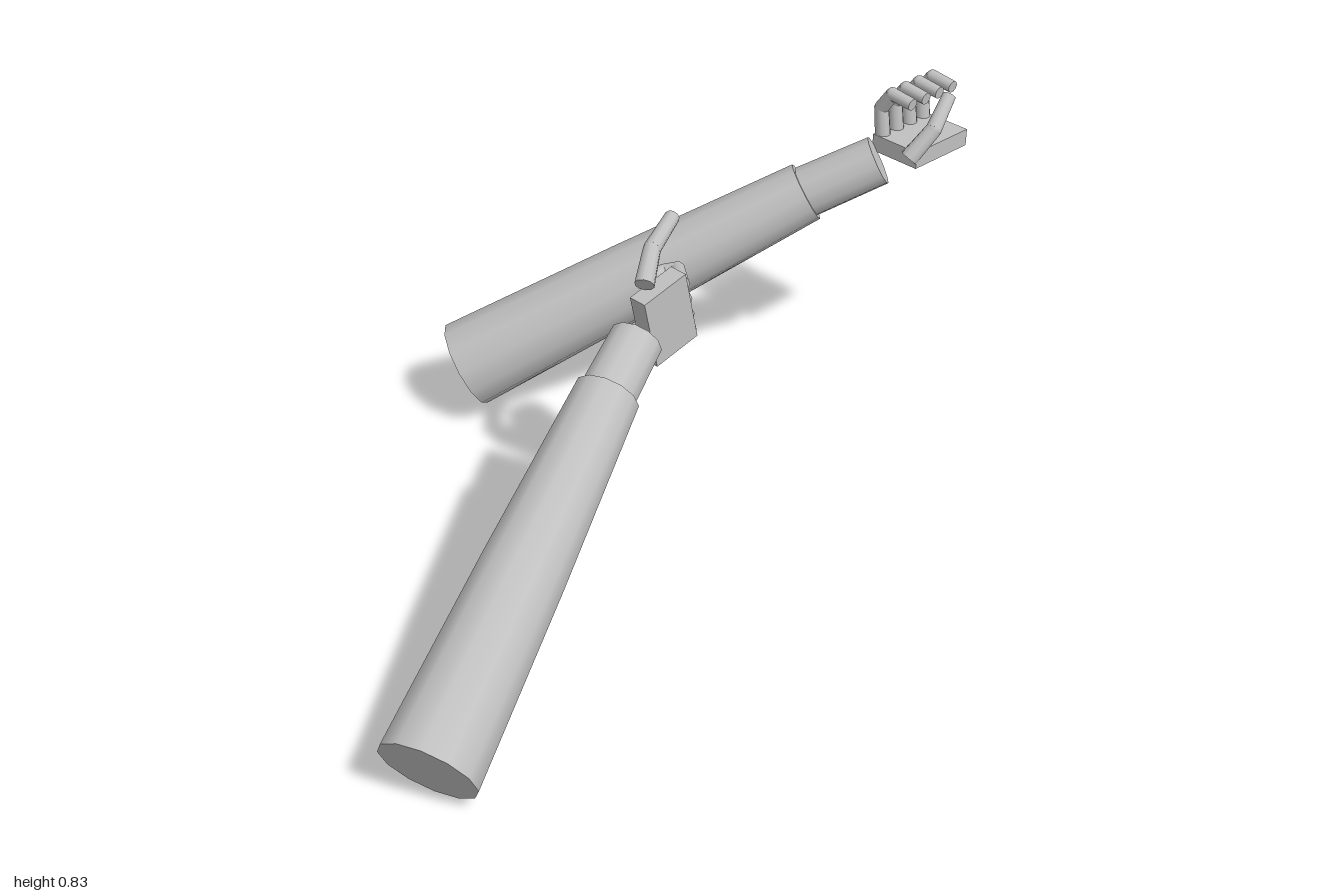
import * as THREE from 'three';

const skin = new THREE.MeshStandardMaterial({ color: 0xc0c0c0 });
skin.name = 'plainGrey';
const V = (a) => new THREE.Vector3(...a);
const UP = new THREE.Vector3(0, 1, 0);

function add(parent, geometry, name) {
  const mesh = new THREE.Mesh(geometry, skin);
  mesh.name = name;
  parent.add(mesh);
  return mesh;
}

// Tapered round section between two points
function limb(parent, from, to, r0, r1, sides, name) {
  const a = V(from), b = V(to), d = b.clone().sub(a);
  const mesh = add(parent, new THREE.CylinderGeometry(r1, r0, d.length(), sides), name);
  mesh.position.copy(a).add(b).multiplyScalar(0.5);
  mesh.quaternion.setFromUnitVectors(UP, d.normalize());
  return mesh;
}

// Jointed digit following a few points
function digit(parent, points, r0, r1, name) {
  const group = new THREE.Group();
  group.name = name;
  const n = points.length - 1;
  for (let i = 0; i < n; i++) {
    const ra = r0 + (r1 - r0) * i / n, rb = r0 + (r1 - r0) * (i + 1) / n;
    limb(group, points[i], points[i + 1], ra, rb, 10, name + 'Segment');
    if (i > 0) add(group, new THREE.SphereGeometry(ra, 10, 6), name + 'Joint').position.set(...points[i]);
  }
  parent.add(group);
}

function arm(spec) {
  const group = new THREE.Group();
  group.name = spec.name;

  // Sleeve, slightly full at the middle, with a step down to the wrist
  const a = V(spec.base), d = V(spec.cuff).sub(a), len = d.length();
  const profile = [[0, 0], [0.109, 0], [0.094, len * 0.5], [0.073, len], [0, len]];
  const sleeve = new THREE.Group();
  sleeve.name = 'sleeve';
  sleeve.position.copy(a);
  sleeve.quaternion.setFromUnitVectors(UP, d.normalize());
  const sides = profile.slice(1, 4).map(p => new THREE.Vector2(...p));
  add(sleeve, new THREE.LatheGeometry(sides, 12), 'sleeveSide');
  const bottom = add(sleeve, new THREE.CircleGeometry(0.109, 12), 'sleeveBase');
  bottom.rotation.x = Math.PI / 2;
  const top = add(sleeve, new THREE.CircleGeometry(0.073, 12), 'cuffEnd');
  top.rotation.x = -Math.PI / 2;
  top.position.y = len;
  group.add(sleeve);

  limb(group, spec.cuff, spec.wrist, 0.063, 0.06, 12, 'wrist');

  // Palm and digits
  const palm = add(group, new THREE.BoxGeometry(...spec.palmSize), 'palm');
  palm.position.set(...spec.palm);
  palm.rotation.x = spec.palmTilt;
  for (let i = 0; i < 4; i++) digit(group, spec.finger(i), 0.019, 0.015, 'finger');
  digit(group, spec.thumb, 0.022, 0.017, 'thumb');
  return group;
}

export function createModel() {
  const model = new THREE.Group();
  model.name = 'pairOfArms';

  model.add(arm({
    name: 'leftArm',
    base: [0.51, 0.105, 0.943], cuff: [0.215, 0.5, 0.195], wrist: [0.167, 0.56, 0.065],
    palm: [0.165, 0.583, -0.02], palmSize: [0.045, 0.175, 0.125], palmTilt: 0.233,
    finger: (i) => {
      const y = 0.645 - i * 0.043, tip = 0.63 - i * 0.047, z = -0.07 - i * 0.009;
      return [[0.165, y, z], [0.105, (y + tip) / 2, -0.118], [0.081, tip, -0.1], [0.082, tip, -0.035]];
    },
    thumb: [[0.17, 0.69, 0.045], [0.125, 0.735, -0.02], [0.082, 0.758, -0.122]],
  }));

  model.add(arm({
    name: 'rightArm',
    base: [-0.53, 0.14, -0.03], cuff: [-0.015, 0.587, -0.665], wrist: [0.1, 0.672, -0.783],
    palm: [0.118, 0.69, -0.909], palmSize: [0.135, 0.042, 0.182], palmTilt: 0,
    finger: (i) => {
      const z = -0.837 - i * 0.048;
      return [[0.066, 0.695, z], [0.055, 0.775, z], [0.085, 0.82, z], [0.147, 0.814, z]];
    },
    thumb: [[0.165, 0.69, -0.815], [0.188, 0.755, -0.87], [0.17, 0.812, -0.94]],
  }));

  return model;
}
